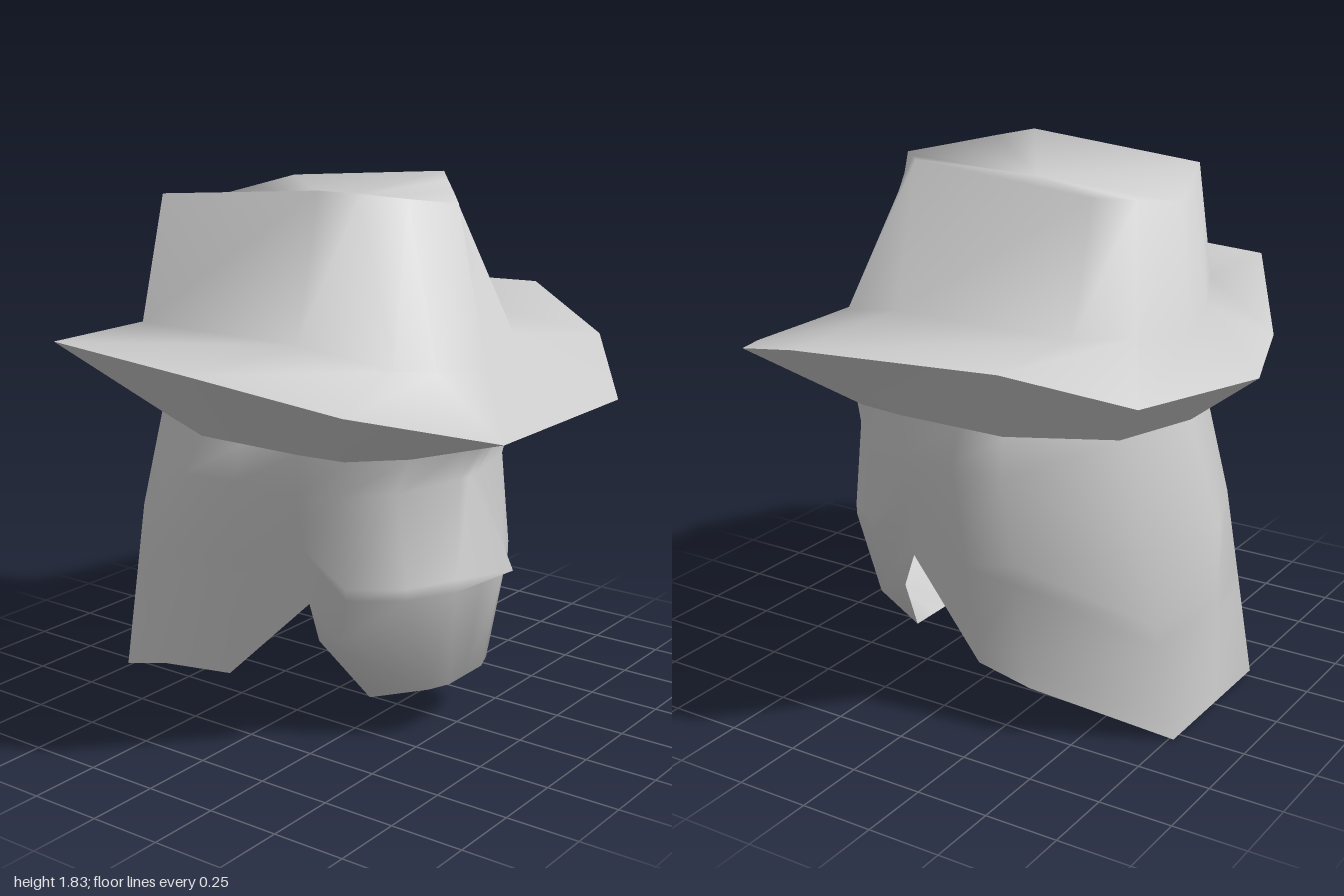
import * as THREE from 'three';
import { mergeVertices } from 'three/addons/utils/BufferGeometryUtils.js';

// Mirrors a half ring (front centre to back centre) into a closed loop
const fullRing = (half) => [
  ...half,
  ...half.slice(1, -1).reverse().map(([x, y, z]) => [-x, y, z]),
];

// Skins closed rings, listed from bottom to top, with smooth shared normals
function loft(halfRings) {
  const rings = halfRings.map(fullRing);
  const n = rings[0].length;
  const index = [];
  for (let r = 0; r < rings.length - 1; r++) {
    for (let c = 0; c < n; c++) {
      const a = r * n + c, b = r * n + (c + 1) % n;
      index.push(a, b, b + n, a, b + n, a + n);
    }
  }
  const g = new THREE.BufferGeometry();
  g.setAttribute('position', new THREE.Float32BufferAttribute(rings.flat(2), 3));
  g.setIndex(index);
  const merged = mergeVertices(g, 1e-4);
  merged.computeVertexNormals();
  return merged;
}

// A hanging cloth column: hem, shoulder and a straight fall to the lower edge
const drape = (top, shoulder, bottom) => [
  top,
  ...[0, 0.4, 0.5, 0.9, 1].map((t) => shoulder.map((v, i) => v + (bottom[i] - v) * t)),
];

export function createModel() {
  const group = new THREE.Group();
  const grey = new THREE.MeshStandardMaterial({ color: 0xcccccc, side: THREE.DoubleSide });
  grey.name = 'light grey';
  const add = (name, geometry) => {
    const mesh = new THREE.Mesh(geometry, grey);
    mesh.name = name;
    group.add(mesh);
  };

  // Hat: inner band, brim edge, crown base, crown top and the dent in its middle
  const band = [[0, 1, 0.585], [0.3, 1, 0.5], [0.45, 1, 0.35], [0.47, 1, 0.18],
    [0.47, 1, -0.22], [0.3, 1, -0.55], [0, 1, -0.645]];
  const brim = [[0, 1.12, 0.875], [0.36, 1.12, 0.875], [0.77, 1.24, 0.58], [1, 1.355, 0.18],
    [0.88, 1.355, -0.47], [0.48, 1.18, -0.71], [0, 1.18, -0.88]];
  const crownBase = [[0, 1.25, 0.585], [0.2, 1.265, 0.53], [0.36, 1.29, 0.47], [0.47, 1.355, 0.18],
    [0.47, 1.355, -0.47], [0.24, 1.32, -0.57], [0, 1.3, -0.645]];
  const crownTop = [[0, 1.77, 0.47], [0.13, 1.79, 0.365], [0.25, 1.81, 0.265], [0.355, 1.825, 0.18],
    [0.355, 1.77, -0.47], [0.18, 1.74, -0.53], [0, 1.71, -0.59]];
  const dent = crownTop.map(() => [0, 1.74, -0.05]);
  add('brimUnderside', loft([band, brim]));
  add('hatTop', loft([brim, crownBase, crownTop, dent]));

  // Head covering columns, each top to bottom: face with nose ridge first
  const face = [
    [[0, 1, 0.585], [0, 0.88, 0.53], [0, 0.59, 0.705], [0, 0.53, 0.585], [0, 0.18, 0.53], [0, 0.12, 0.3]],
    [[0.1, 1, 0.565], [0.05, 0.88, 0.525], [0.14, 0.57, 0.58], [0.15, 0.53, 0.58], [0.1, 0.18, 0.53], [0.12, 0.12, 0.3]],
    [[0.3, 1, 0.5], [0.32, 0.88, 0.46], [0.31, 0.57, 0.5], [0.31, 0.53, 0.5], [0.18, 0.18, 0.5], [0.235, 0.12, 0.3]],
    [[0.45, 1, 0.35], [0.46, 0.88, 0.33], [0.43, 0.57, 0.34], [0.425, 0.53, 0.34], [0.405, 0.37, 0.3], [0.41, 0.36, 0.22]],
  ];
  // Then the side notch, the sides and the back
  const neck = [
    drape([0.47, 1, 0.18], [0.47, 0.86, 0.18], [0.41, 0.48, 0.18]),
    drape([0.47, 1, -0.05], [0.51, 0.88, -0.05], [0.465, 0.18, -0.12]),
    drape([0.47, 1, -0.22], [0.53, 0.88, -0.25], [0.53, 0.18, -0.36]),
    drape([0.3, 1, -0.55], [0.31, 0.65, -0.64], [0.29, 0, -0.765]),
    drape([0, 1, -0.645], [0, 0.65, -0.765], [0, 0, -0.765]),
  ];
  const columns = [...face, ...neck];
  add('headCovering', loft([5, 4, 3, 2, 1, 0].map((row) => columns.map((c) => c[row]))));

  return group;
}
